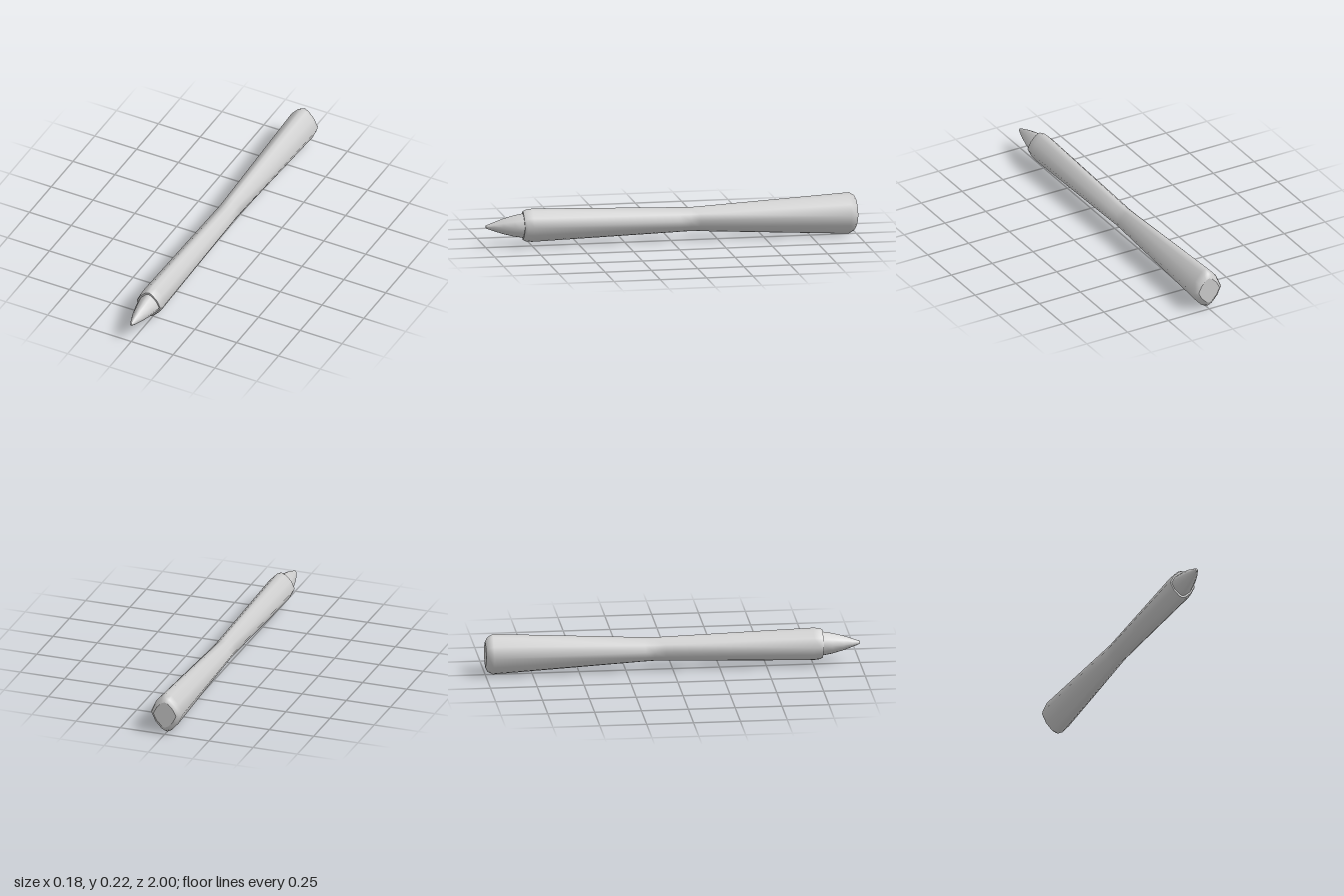
import * as THREE from 'three';

const CY = 0.113; // height of the long axis

// One quarter of the pointed-oval section, as fractions of half width and half height
const QUARTER = [[1, 0], [0.71, 0.51], [0.28, 0.89]];
const SECTION = [
  ...QUARTER,
  [0, 1],
  ...QUARTER.slice(1).reverse().map(([x, y]) => [-x, y]),
  [-1, 0],
  ...QUARTER.slice(1).map(([x, y]) => [-x, -y]),
  [0, -1],
  ...QUARTER.slice(1).reverse().map(([x, y]) => [x, -y]),
];

const material = new THREE.MeshStandardMaterial({ color: 0xcccccc });

function addMesh(group, name, geometry) {
  const mesh = new THREE.Mesh(geometry, material);
  mesh.name = name;
  group.add(mesh);
  return mesh;
}

// Smooth skin through rings given as [z, half width, half height], back to front
function loft(rings) {
  const n = SECTION.length, positions = [], index = [];
  for (const [z, rx, ry] of rings) {
    for (const [x, y] of SECTION) positions.push(x * rx, y * ry, z);
  }
  for (let i = 0; i < rings.length - 1; i++) {
    for (let j = 0; j < n; j++) {
      const a = i * n + j, b = i * n + (j + 1) % n;
      index.push(a, b, b + n, a, b + n, a + n);
    }
  }
  const geometry = new THREE.BufferGeometry();
  geometry.setAttribute('position', new THREE.Float32BufferAttribute(positions, 3));
  geometry.setIndex(index);
  geometry.computeVertexNormals();
  return geometry;
}

// Flat end face for a ring; facing is +1 for front, -1 for back
function addCap(group, name, [z, rx, ry], facing) {
  const shape = new THREE.Shape(SECTION.map(([x, y]) => new THREE.Vector2(x * rx, y * ry)));
  const cap = addMesh(group, name, new THREE.ShapeGeometry(shape));
  cap.position.z = z;
  if (facing < 0) cap.rotation.y = Math.PI;
}

export function createModel() {
  const model = new THREE.Group();
  model.name = 'pen';
  const pen = new THREE.Group();
  pen.name = 'penParts';
  pen.position.y = CY;
  model.add(pen);

  // Barrel: rounded back end, narrow waist, rounded front shoulder
  const barrel = [
    [-1, 0.064, 0.073],
    [-0.988, 0.079, 0.096],
    [-0.96, 0.089, 0.112],
    [-0.15, 0.063, 0.067],
    [-0.1, 0.062, 0.065],
    [-0.04, 0.063, 0.067],
    [0.75, 0.077, 0.09],
    [0.785, 0.075, 0.086],
    [0.8, 0.07, 0.078],
  ];
  addMesh(pen, 'barrel', loft(barrel));
  addCap(pen, 'barrelBack', barrel[0], -1);
  addCap(pen, 'barrelFront', barrel[barrel.length - 1], 1);

  // Bullet-shaped tip with a small blunt point
  const tip = [
    [0.79, 0.063, 0.067],
    [0.8, 0.062, 0.066],
    [0.85, 0.053, 0.057],
    [0.91, 0.038, 0.041],
    [0.96, 0.022, 0.023],
    [0.99, 0.011, 0.012],
    [1, 0.006, 0.007],
  ];
  addMesh(pen, 'tip', loft(tip));
  addCap(pen, 'tipPoint', tip[tip.length - 1], 1);

  return model;
}
